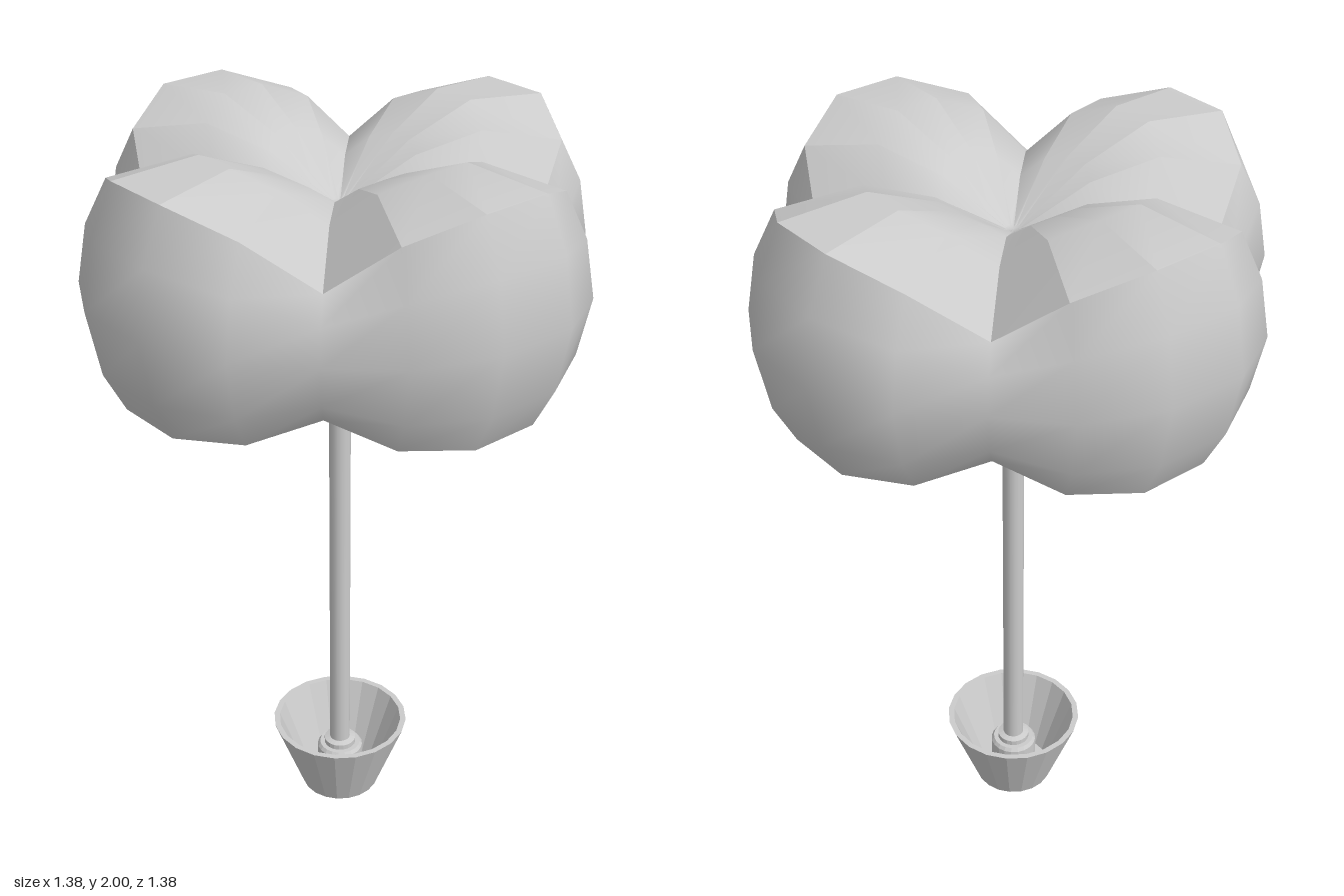
import * as THREE from 'three';

const SIDES = 20;
const LOBE = [0.8, 0.94, 1, 1, 0.94]; // radius factor, valley first, repeated four times

export function createModel() {
  const model = new THREE.Group();
  const smooth = new THREE.MeshStandardMaterial({ color: 0xcccccc });
  const flat = new THREE.MeshStandardMaterial({ color: 0xcccccc, flatShading: true });

  const add = (name, geometry, material, parent = model) => {
    const mesh = new THREE.Mesh(geometry, material);
    mesh.name = name;
    parent.add(mesh);
    return mesh;
  };

  // Four-lobed shell from a profile of [radius, y, valley shift], running from below, outwards and up.
  // With wedges = true each sector keeps its own vertices, so the radial folds stay sharp.
  function lobedShell(profile, wedges) {
    const positions = [], index = [], rows = profile.length;
    const column = (j) => {
      const angle = THREE.MathUtils.degToRad(54 + (j * 360) / SIDES);
      const f = LOBE[j % 5];
      for (const [r, y, shift] of profile) {
        positions.push(r * f * Math.cos(angle), y + (1 - f) * shift, -r * f * Math.sin(angle));
      }
    };
    if (!wedges) for (let j = 0; j < SIDES; j++) column(j);
    for (let j = 0; j < SIDES; j++) {
      if (wedges) { column(j); column(j + 1); }
      const left = (wedges ? 2 * j : j) * rows;
      const right = (wedges ? 2 * j + 1 : (j + 1) % SIDES) * rows;
      for (let i = 0; i < rows - 1; i++) {
        index.push(left + i, right + i, right + i + 1, left + i, right + i + 1, left + i + 1);
      }
    }
    const geometry = new THREE.BufferGeometry();
    geometry.setAttribute('position', new THREE.Float32BufferAttribute(positions, 3));
    geometry.setIndex(index);
    geometry.computeVertexNormals();
    return geometry;
  }

  const lathe = (points, sides) =>
    new THREE.LatheGeometry(points.map(([r, y]) => new THREE.Vector2(r, y)), sides);

  // Crown: smooth bulging wall, folded top dipping to the centre, shallow underside
  const crown = new THREE.Group();
  crown.name = 'crown';
  model.add(crown);
  add('crownWall', lobedShell([
    [0.6, 1.403, 0.3], [0.655, 1.51, 0.05], [0.688, 1.68, -0.25], [0.66, 1.85, -0.65], [0.6, 1.98, -1],
  ], false), smooth, crown);
  add('crownTop', lobedShell([
    [0.6, 1.98, -1], [0.38, 2.0, -0.65], [0.2, 1.93, -0.3], [0.022, 1.81, 0], [0, 1.81, 0],
  ], true), smooth, crown);
  add('crownUnderside', lobedShell([
    [0.085, 1.42, 0], [0.35, 1.415, 0.17], [0.6, 1.403, 0.3],
  ], true), smooth, crown);

  // Lobed neck joining crown and stem
  add('neck', lobedShell([
    [0.03, 1.358, 0], [0.045, 1.365, 0], [0.06, 1.383, 0], [0.087, 1.387, 0], [0.087, 1.425, 0],
  ], false), flat, crown);

  // Stem
  const stem = add('stem', new THREE.CylinderGeometry(0.029, 0.029, 1.38, 16), smooth);
  stem.position.y = 0.71;

  // Hollow tapered pot
  add('pot', lathe([
    [0, 0], [0.11, 0], [0.192, 0.22], [0.176, 0.22], [0.1, 0.02], [0, 0.02],
  ], SIDES), flat);

  // Stepped collar holding the stem inside the pot
  add('stemCollar', lathe([
    [0.065, 0.02], [0.065, 0.12], [0.058, 0.13], [0.045, 0.13], [0.045, 0.145], [0.029, 0.15],
  ], SIDES), flat);

  return model;
}
